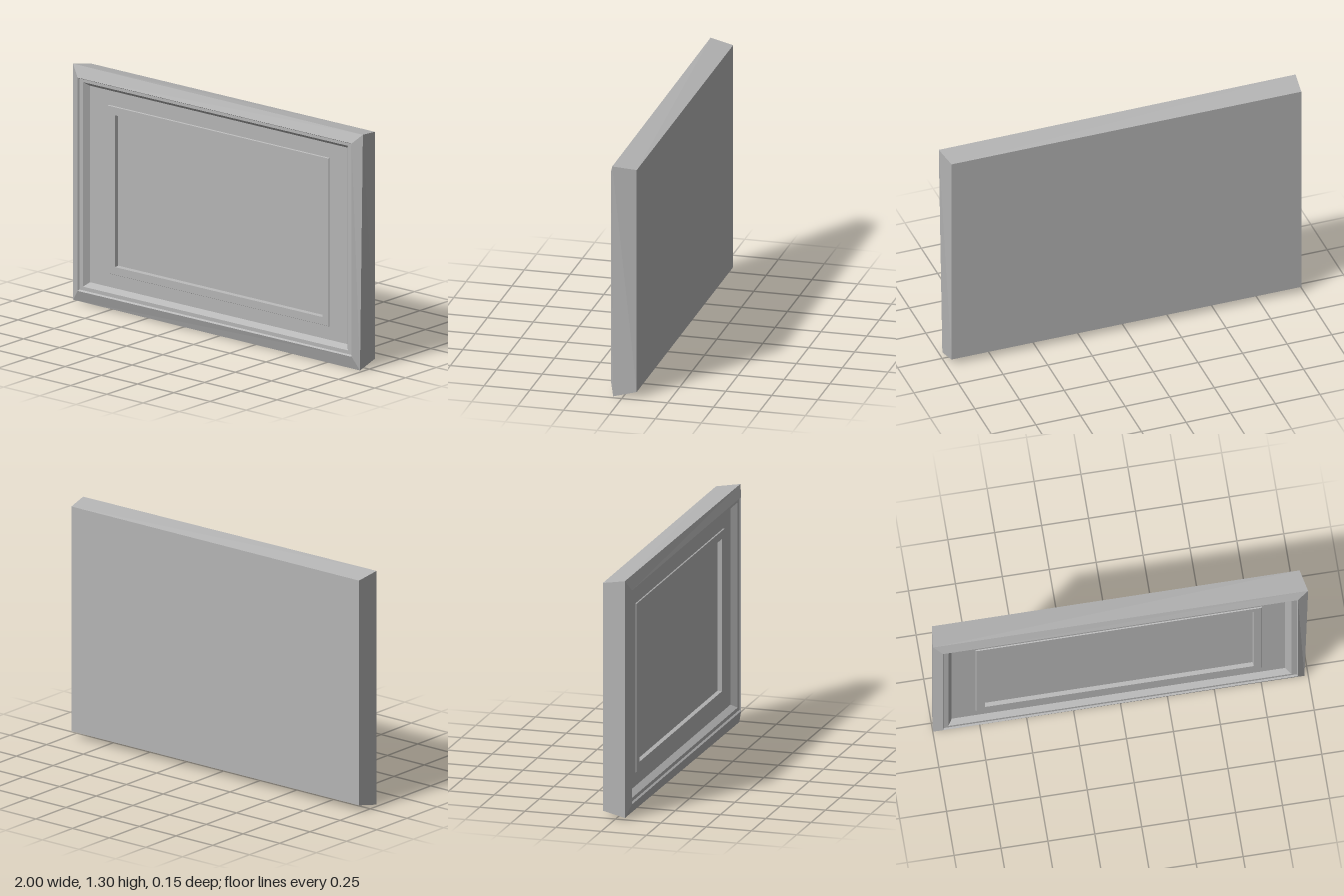
import * as THREE from 'three';

const grey = new THREE.MeshStandardMaterial({ color: 0xb4b4b4, flatShading: true });
grey.name = 'plain grey';

// Four corners, counter-clockwise seen from the front
const rect = (x0, y0, x1, y1, z) => [[x0, y0, z], [x1, y0, z], [x1, y1, z], [x0, y1, z]];

// Skins successive four-corner loops, optionally closing the first and last
function loft(name, loops, { capStart = false, capEnd = false } = {}) {
  const pos = [];
  const quad = (a, b, c, d) => pos.push(...a, ...b, ...c, ...a, ...c, ...d);
  for (let i = 0; i + 1 < loops.length; i++) {
    const p = loops[i], q = loops[i + 1];
    for (let k = 0; k < 4; k++) {
      const n = (k + 1) % 4;
      quad(p[k], p[n], q[n], q[k]);
    }
  }
  if (capStart) quad(...[...loops[0]].reverse());
  if (capEnd) quad(...loops[loops.length - 1]);
  const geo = new THREE.BufferGeometry();
  geo.setAttribute('position', new THREE.Float32BufferAttribute(pos, 3));
  geo.computeVertexNormals();
  const mesh = new THREE.Mesh(geo, grey);
  mesh.name = name;
  return mesh;
}

export function createModel() {
  const group = new THREE.Group();
  group.name = 'pictureFrame';

  // Slightly uneven, hand-made outer rim
  const rim = [[-1, 0.01, 0.052], [0.98, 0, 0.052], [1, 1.297, 0.052], [-1, 1.305, 0.052]];
  const lip = rect(-0.95, 0.073, 0.942, 1.243, 0.075);
  const step = rect(-0.945, 0.08, 0.937, 1.238, 0.066);
  const inner = rect(-0.92, 0.1, 0.908, 1.222, 0.066);
  const recess = rect(-0.897, 0.122, 0.88, 1.2, 0.036);
  const matOuter = rect(-0.77, 0.195, 0.757, 1.12, 0.036);
  const matRaised = rect(-0.767, 0.198, 0.754, 1.117, 0.042);
  const opening = rect(-0.72, 0.24, 0.712, 1.073, 0.042);
  const picture = rect(-0.716, 0.244, 0.708, 1.069, 0.02);

  // Tapered back box and outer moulding
  group.add(loft('frameBody', [rect(-0.985, 0.035, 0.975, 1.28, -0.075), rim], { capStart: true }));
  group.add(loft('frameMoulding', [rim, lip, step, inner, recess]));
  // Mat border with its raised inner band
  group.add(loft('mat', [recess, matOuter, matRaised, opening]));
  // Sunken picture panel
  group.add(loft('picturePanel', [opening, picture], { capEnd: true }));

  return group;
}
